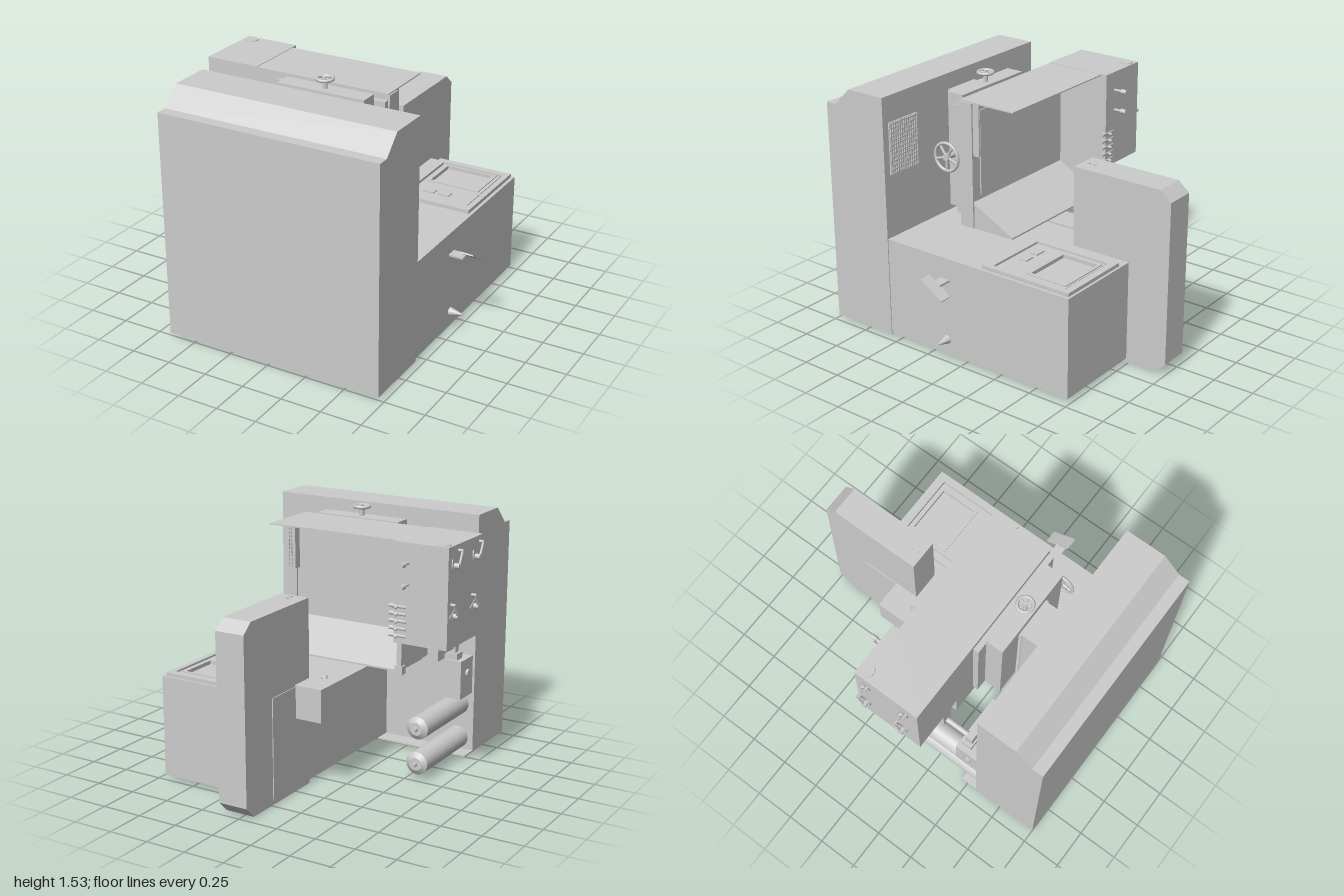
import * as THREE from 'three';

const MAT = new THREE.MeshStandardMaterial({ color: 0xcccccc, side: THREE.DoubleSide });

export function createModel() {
  const model = new THREE.Group();

  const add = (name, geo, parent = model) => {
    const m = new THREE.Mesh(geo, MAT);
    m.name = name;
    parent.add(m);
    return m;
  };
  // box from min/max ranges
  const box = (name, x0, x1, y0, y1, z0, z1, parent) => {
    const m = add(name, new THREE.BoxGeometry(x1 - x0, y1 - y0, z1 - z0), parent);
    m.position.set((x0 + x1) / 2, (y0 + y1) / 2, (z0 + z1) / 2);
    return m;
  };
  // cylinder or cone running from point a to point b
  const rod = (name, a, b, r0, r1 = r0, seg = 24, parent) => {
    const p = new THREE.Vector3(...a), q = new THREE.Vector3(...b);
    const d = q.clone().sub(p);
    const m = add(name, new THREE.CylinderGeometry(r1, r0, d.length(), seg), parent);
    m.position.copy(p).add(q).multiplyScalar(0.5);
    m.quaternion.setFromUnitVectors(new THREE.Vector3(0, 1, 0), d.normalize());
    return m;
  };
  const ball = (name, p, r, parent) => {
    const m = add(name, new THREE.SphereGeometry(r, 16, 12), parent);
    m.position.set(...p);
    return m;
  };
  // side profile of [z, y] points extruded from x0 to x1
  const profile = (name, pts, x0, x1) => {
    const s = new THREE.Shape(pts.map(([z, y]) => new THREE.Vector2(-z, y)));
    const g = new THREE.ExtrudeGeometry(s, { depth: x1 - x0, bevelEnabled: false });
    g.rotateY(Math.PI / 2);
    const m = add(name, g);
    m.position.x = x0;
    return m;
  };
  // flat rectangular ring lying on its back, in x/z ranges
  const frame = (name, o, i, y, h) => {
    const rect = ([x0, x1, z0, z1], C) => new C([[x0, z0], [x1, z0], [x1, z1], [x0, z1]]
      .map(([x, z]) => new THREE.Vector2(x, -z)));
    const s = rect(o, THREE.Shape);
    s.holes.push(rect(i, THREE.Path));
    const g = new THREE.ExtrudeGeometry(s, { depth: h, bevelEnabled: false });
    g.rotateX(-Math.PI / 2);
    add(name, g).position.y = y;
  };
  // spoked wheel with its axle along local y
  const wheel = (name, r, spokes, pos) => {
    const g = new THREE.Group();
    g.name = name;
    add('rim', new THREE.TorusGeometry(r - 0.01, 0.01, 10, 40).rotateX(Math.PI / 2), g);
    rod('hub', [0, -0.018, 0], [0, 0.012, 0], r * 0.22, r * 0.22, 20, g);
    for (let i = 0; i < spokes; i++) {
      const a = (i / spokes) * Math.PI * 2;
      rod('spoke', [0, 0, 0], [Math.cos(a) * (r - 0.01), 0, Math.sin(a) * (r - 0.01)], r * 0.09, r * 0.09, 8, g);
    }
    g.position.set(...pos);
    model.add(g);
    return g;
  };

  // main cabinets
  profile('frontCabinet', [[1, 0.015], [1, 1.4], [0.93, 1.4], [0.82, 1.51], [0.565, 1.51], [0.565, 0.015]], -0.67, 0.715);
  box('basePlate', -0.67, -0.06, 0.015, 0.025, 0.46, 0.57);
  box('baseCabinet', -0.06, 0.71, 0.025, 0.64, -0.735, 0.565);
  profile('rearCabinet', [[-0.35, 0], [-0.35, 1.13], [-0.93, 1.13], [-1, 1.07], [-1, 0.07], [-0.93, 0]], -0.055, 0.13);
  for (const z of [-0.39, -0.43]) rod('rearCabinetStud', [0.04, 1.13, z], [0.04, 1.137, z], 0.01);

  // side box with its small drop-shaped control
  box('sideBox', -0.23, -0.055, 0.45, 0.65, -0.5, 0.04);
  rod('sideBoxDial', [-0.13, 0.65, -0.305], [-0.13, 0.668, -0.305], 0.024, 0.016);
  rod('sideBoxPointer', [-0.13, 0.657, -0.305], [-0.13, 0.657, -0.345], 0.014, 0.002, 12);

  // control panel
  frame('panelFrame', [0.205, 0.69, -0.72, -0.125], [0.25, 0.655, -0.675, -0.18], 0.64, 0.022);
  frame('panelInset', [0.26, 0.645, -0.665, -0.19], [0.295, 0.61, -0.645, -0.4], 0.64, 0.016);
  frame('screenBezel', [0.28, 0.625, -0.655, -0.385], [0.3, 0.605, -0.64, -0.405], 0.64, 0.022);
  for (const x of [0.33, 0.43]) box('panelButton', x, x + 0.07, 0.655, 0.664, -0.29, -0.24);

  // side lever and cone knob on the base
  const lever = box('sideLever', 0.79, 0.87, -0.004, 0.004, -0.09, 0.09);
  lever.position.set(0.83, 0.503, 0.107);
  lever.rotation.x = -0.56;
  box('sideLeverStem', 0.71, 0.8, 0.498, 0.51, 0.1, 0.165);
  rod('sideKnob', [0.71, 0.12, 0.13], [0.79, 0.12, 0.13], 0.027, 0.004);

  // ventilation grille on the back of the front cabinet
  box('ventPlate', 0.43, 0.67, 1.03, 1.35, 0.557, 0.566);
  for (let i = 0; i <= 12; i++) {
    const x = 0.435 + i * 0.0187, y = 1.035 + i * 0.0252;
    box('ventBar', x, x + 0.006, 1.03, 1.35, 0.55, 0.558);
    box('ventBar', 0.43, 0.67, y, y + 0.006, 0.55, 0.558);
  }

  // column, carriage and slide that hold the head
  box('column', -0.1, 0.14, 0.76, 1.41, 0.43, 0.566);
  box('carriage', -0.26, 0.3, 0.76, 1.465, 0.32, 0.43);
  for (let i = 0; i < 26; i++) {
    box('rackTooth', -0.11, 0.15, 0.765 + i * 0.025, 0.777 + i * 0.025, 0.43, 0.447);
  }
  box('slide', -0.33, 0.37, 0.76, 1.43, 0.28, 0.32);
  rod('topWheelStem', [0.02, 1.46, 0.375], [0.02, 1.52, 0.375], 0.014);
  wheel('topWheel', 0.055, 5, [0.02, 1.522, 0.375]);
  rod('sideWheelStem', [0.3, 1.1, 0.375], [0.39, 1.1, 0.375], 0.018);
  wheel('sideWheel', 0.095, 5, [0.39, 1.1, 0.375]).rotation.z = -Math.PI / 2;

  // head body, roof, sloping tray and gearbox
  box('headBody', -0.49, 0.37, 0.69, 1.46, 0.2, 0.285);
  box('headFlange', 0.37, 0.38, 0.69, 1.46, 0.19, 0.285);
  box('headBackPanel', -0.48, 0.3, 0.88, 1.4, 0.192, 0.2);
  box('headRoof', -0.5, 0.37, 1.46, 1.467, -0.1, 0.285);
  profile('headTray', [[0.2, 0.85], [0.2, 0.69], [-0.09, 0.69], [-0.09, 0.7]], -0.49, 0.37);
  box('trayEnd', -0.5, -0.49, 0.69, 0.89, -0.09, 0.2);
  box('ventStrip', 0.355, 0.365, 1.14, 1.46, 0.15, 0.2);
  box('gearbox', -0.83, -0.49, 0.88, 1.47, -0.14, 0.285);
  rod('fillerCap', [-0.775, 1.465, -0.09], [-0.775, 1.477, -0.09], 0.042, 0.04, 32);

  // end cranks on the gearbox
  for (const y of [1.36, 1.07]) for (const z of [-0.08, 0.18]) {
    const dir = y > 1.2 ? 1 : -1, tip = y + (y > 1.2 ? 0.08 : 0.075);
    const plate = rod('crankPlate', [-0.83, y, z], [-0.838, y, z], 0.045, 0.045, 3);
    plate.rotateY(dir > 0 ? 0 : Math.PI);
    rod('crankHub', [-0.83, y, z], [-0.87, y, z], 0.016);
    rod('crankArm', [-0.865, y, z], [-0.865, tip, z + dir * 0.04], 0.007, 0.007, 12);
    rod('crankGrip', [-0.87, tip, z + dir * 0.04], [-0.84, tip, z + dir * 0.04], 0.009, 0.009, 12);
  }

  // shift handles and row of small levers at the back of the gearbox
  for (const y of [1.355, 1.23]) {
    rod('shiftHandle', [-0.58, y, -0.14], [-0.58, y, -0.2], 0.008, 0.008, 12);
    rod('shiftGrip', [-0.58, y, -0.19], [-0.58, y, -0.225], 0.016, 0.013, 16);
  }
  for (let i = 0; i < 5; i++) {
    const y = 1.095 - i * 0.043;
    rod('feedLever', [-0.57, y, -0.132], [-0.46, y, -0.132], 0.012, 0.012, 14);
    rod('feedStem', [-0.515, y, -0.13], [-0.515, y, -0.158], 0.005, 0.005, 10);
    ball('feedKnob', [-0.515, y, -0.16], 0.01);
  }
  box('stopBar', -0.53, -0.5, 0.73, 0.89, -0.115, -0.09);
  box('stopBlock', -0.54, -0.49, 0.685, 0.735, -0.12, -0.08);

  // spindle drive below the gearbox
  box('driveHousing', -0.655, -0.29, 0.4, 0.64, 0.405, 0.566);
  rod('driveShaft', [-0.67, 0.55, 0.49], [-0.175, 0.55, 0.49], 0.024);
  box('driveFoot', -0.62, -0.52, 0.635, 0.68, 0.42, 0.49);
  box('drivePost', -0.6, -0.54, 0.68, 0.76, 0.435, 0.48);
  rod('spindle', [-0.57, 0.717, 0.2], [-0.57, 0.717, 0.44], 0.018);
  box('spindleBracket', -0.605, -0.535, 0.69, 0.885, 0.2, 0.28);

  // pair of rollers
  for (const y of [0.32, 0.1]) {
    rod('roller', [-0.565, y, 0.03], [-0.565, y, 0.566], 0.07, 0.07, 32);
    rod('rollerCap', [-0.565, y, 0.01], [-0.565, y, 0.03], 0.04, 0.07, 32);
    rod('rollerPin', [-0.565, y, -0.02], [-0.565, y, 0.02], 0.014);
  }
  return model;
}
